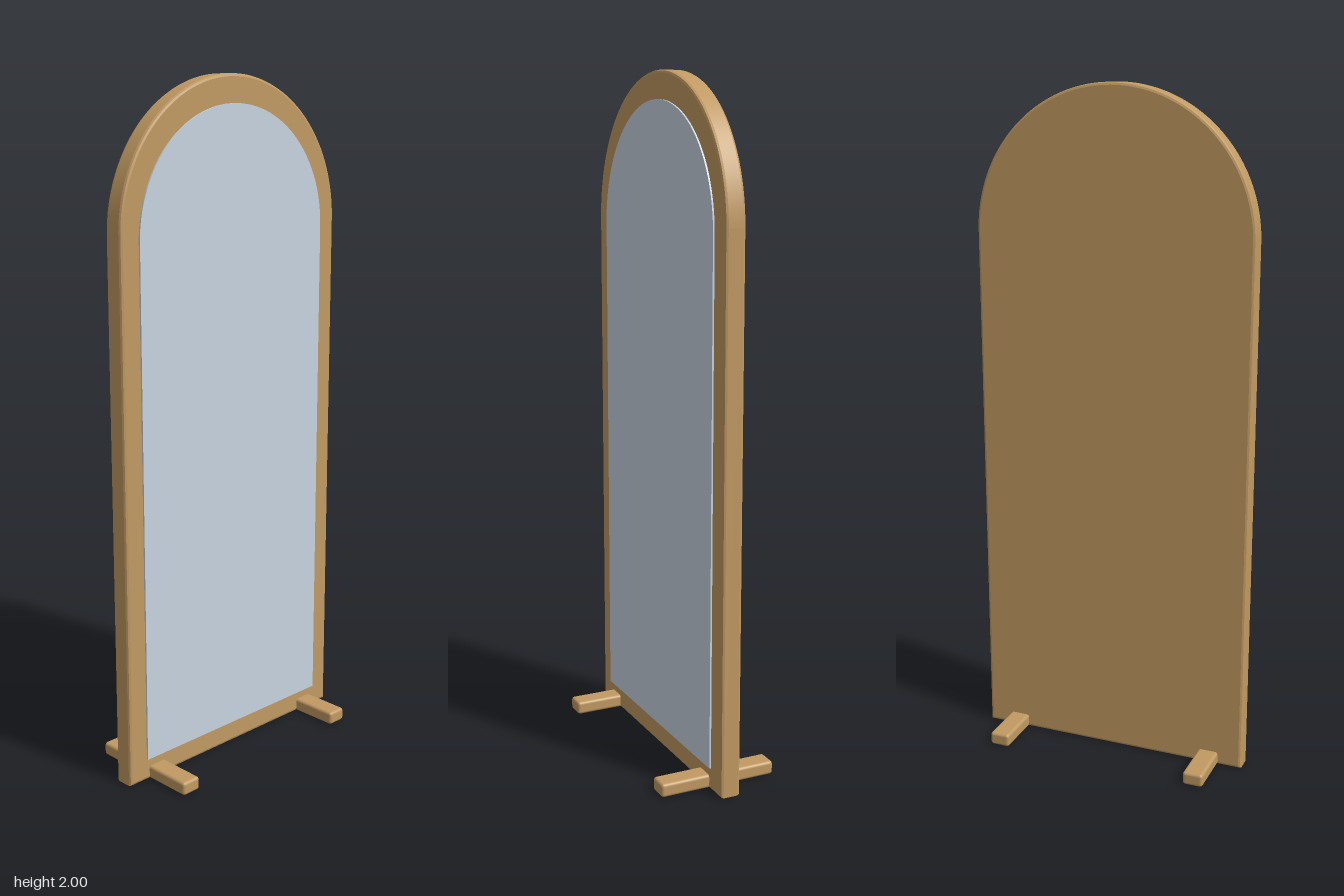
import * as THREE from 'three';
import { toCreasedNormals } from 'three/addons/utils/BufferGeometryUtils.js';
import { RoundedBoxGeometry } from 'three/addons/geometries/RoundedBoxGeometry.js';

// Straight-sided outline with a semicircular top
function archShape(halfWidth, bottom, springLine) {
  const s = new THREE.Shape();
  s.moveTo(-halfWidth, bottom);
  s.lineTo(halfWidth, bottom);
  s.lineTo(halfWidth, springLine);
  s.absarc(0, springLine, halfWidth, 0, Math.PI, false);
  s.closePath();
  return s;
}

export function createModel() {
  const model = new THREE.Group();
  model.name = 'archedFloorMirror';
  const wood = new THREE.MeshStandardMaterial({ color: 0xc19a62 });
  wood.name = 'wood';
  const glass = new THREE.MeshStandardMaterial({ color: 0xc8d4e0 });
  glass.name = 'mirrorGlass';

  const add = (name, geometry, material, x = 0, y = 0, z = 0) => {
    const mesh = new THREE.Mesh(geometry, material);
    mesh.name = name;
    mesh.position.set(x, y, z);
    model.add(mesh);
  };

  // Solid arched backing board with softly rounded edges
  const bevel = 0.008;
  const board = new THREE.ExtrudeGeometry(archShape(0.42 - bevel, bevel, 1.58), {
    depth: 0.06 - 2 * bevel, bevelThickness: bevel, bevelSize: bevel,
    bevelSegments: 2, curveSegments: 48,
  });
  add('frame', toCreasedNormals(board, 0.35), wood, 0, 0, -0.03 + bevel);

  // Thin mirror plate on the front face
  const plate = new THREE.ExtrudeGeometry(archShape(0.357, 0.065, 1.563), {
    depth: 0.005, bevelEnabled: false, curveSegments: 48,
  });
  add('mirrorPlate', toCreasedNormals(plate, 0.35), glass, 0, 0, 0.03);

  // Two feet running front to back
  for (const side of [-1, 1]) {
    add(side > 0 ? 'leftFoot' : 'rightFoot',
      new RoundedBoxGeometry(0.062, 0.04, 0.356, 3, 0.009), wood, side * 0.316, 0.02, 0);
  }
  return model;
}
